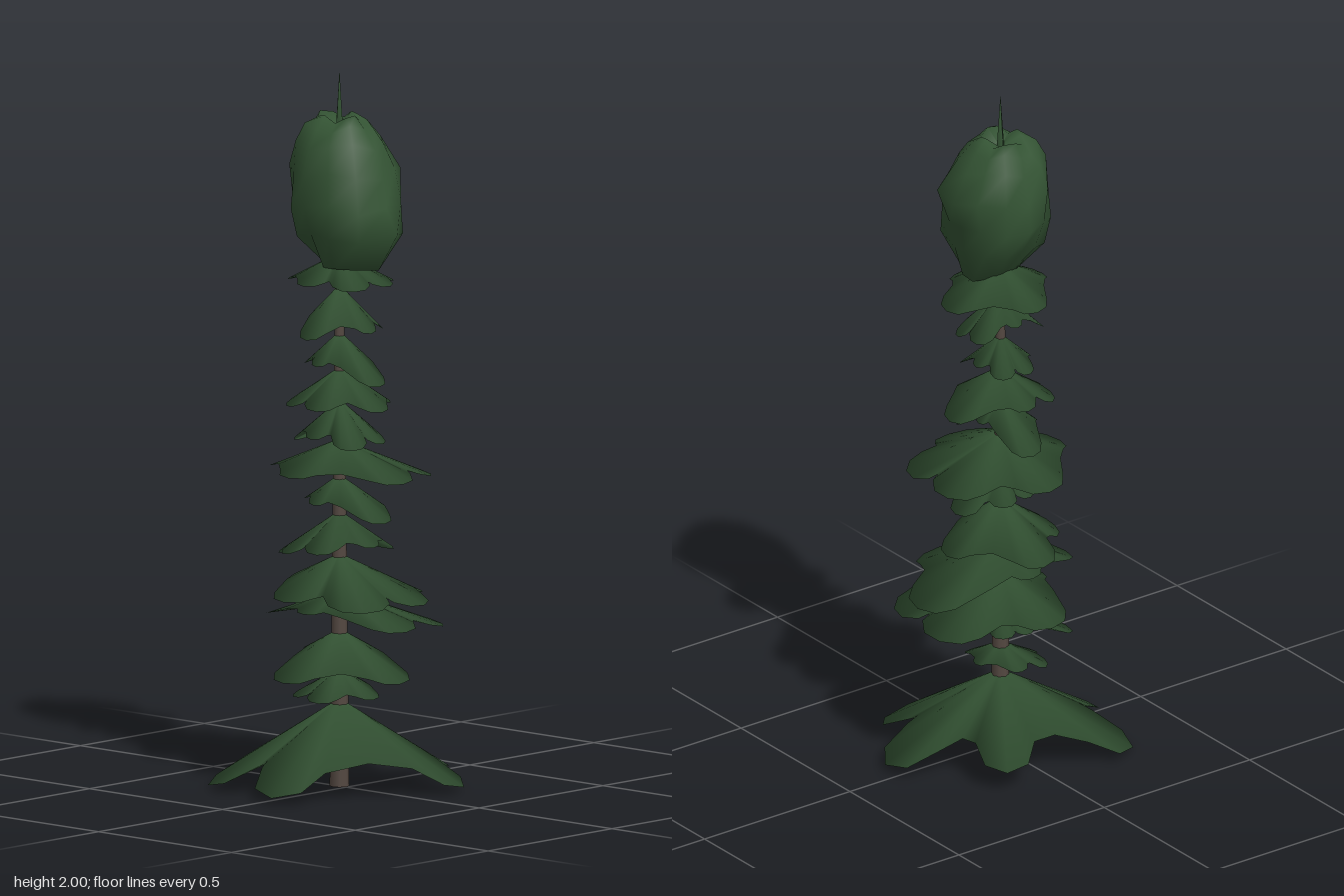
import * as THREE from 'three';

const CX = -0.03, CZ = -0.005; // trunk axis
const RAD = Math.PI / 180;

// distance from the axis to a lopsided oval given by its four extents; power 2 is an ellipse, more is fuller
function reach(a, [xl, xr, zb, zf], power) {
  const c = Math.cos(a), s = Math.sin(a);
  const rx = c < 0 ? CX - xl : xr - CX;
  const rz = s < 0 ? CZ - zb : zf - CZ;
  return (Math.abs(c / rx) ** power + Math.abs(s / rz) ** power) ** (-1 / power);
}

function surface(pos, index) {
  const g = new THREE.BufferGeometry();
  g.setAttribute('position', new THREE.Float32BufferAttribute(pos, 3));
  g.setIndex(index);
  g.computeVertexNormals();
  return g;
}

// drooping skirt of boughs: a closed star-shaped cone, hollowed underneath
// lobes: [angle in degrees, length], in order of angle; then relative radii of shoulder, flank and valley
function skirtGeometry(lobes, drop, shoulder, flank, valley) {
  const rim = [];
  lobes.forEach(([deg, len], i) => {
    const [d2, len2] = lobes[(i + 1) % lobes.length];
    const gap = (d2 - deg + 360) % 360;
    for (const [da, k] of [[-23, flank], [-13, shoulder], [0, 1], [13, shoulder], [23, flank]]) {
      rim.push([deg + da, len * k]);
    }
    rim.push([deg + gap / 2, valley * (len + len2) / 2]);
  });
  const longest = Math.max(...lobes.map(l => l[1]));
  const pos = [0, 0, 0, 0, -drop * 0.38, 0], index = [];
  rim.forEach(([deg, r], i) => {
    const a = deg * RAD;
    pos.push(Math.cos(a) * r, -drop * r / longest, Math.sin(a) * r);
    const p = 2 + i, q = 2 + (i + 1) % rim.length;
    index.push(0, q, p, 1, p, q);
  });
  return surface(pos, index);
}

// dense lumpy head lofted through uneven rings, sunken at the top
function crownGeometry() {
  const rings = [ // y, left x, right x, back z, front z
    [1.445, -0.035, -0.02, -0.015, 0.01],
    [1.455, -0.05, 0.11, -0.1, 0.06],
    [1.55, -0.13, 0.19, -0.125, 0.12],
    [1.63, -0.165, 0.155, -0.14, 0.135],
    [1.72, -0.165, 0.13, -0.175, 0.135],
    [1.8, -0.145, 0.1, -0.12, 0.125],
    [1.845, -0.125, 0.07, -0.085, 0.09],
    [1.87, -0.1, 0.03, -0.055, 0.05],
    [1.84, -0.032, -0.028, -0.007, -0.003],
  ];
  const n = 12, pos = [], index = [];
  rings.forEach(([y, ...ext], i) => {
    for (let j = 0; j < n; j++) {
      const a = (j / n) * Math.PI * 2;
      const r = reach(a, ext, 2) * (1 + 0.05 * Math.sin(j * 2.6 + i * 1.7));
      const lump = i > 1 && i < 8 ? 0.012 * Math.sin(j * 2.1 + i) : 0;
      pos.push(Math.cos(a) * r, y + lump, Math.sin(a) * r);
      if (i < rings.length - 1) {
        const p = i * n + j, q = i * n + (j + 1) % n;
        index.push(p, p + n, q, q, p + n, q + n);
      }
    }
  });
  return surface(pos, index);
}

export function createModel() {
  const model = new THREE.Group();
  model.name = 'conifer';
  const foliage = new THREE.MeshStandardMaterial({ color: 0x345434, side: THREE.DoubleSide });
  foliage.name = 'needle green';
  const bark = new THREE.MeshStandardMaterial({ color: 0x544841 });
  bark.name = 'bark brown';

  const tree = new THREE.Group();
  tree.name = 'tree';
  tree.position.set(CX, 0, CZ);
  model.add(tree);
  const add = (geometry, material, name, y = 0) => {
    const m = new THREE.Mesh(geometry, material);
    m.name = name;
    m.position.y = y;
    tree.add(m);
  };

  // trunk and leading shoot
  add(new THREE.CylinderGeometry(0.008, 0.027, 1.8, 8), bark, 'trunk', 0.9);
  add(new THREE.ConeGeometry(0.016, 0.2, 4), foliage, 'leadingShoot', 1.9);

  // lowest tier: long, deeply parted boughs
  const skirt = [[-78, 0.35], [-25.5, 0.36], [78.7, 0.357], [129, 0.366], [213, 0.286]];
  add(skirtGeometry(skirt, 0.235, 0.93, 0.73, 0.64), foliage, 'lowestTier', 0.245);

  // upper tiers: apex y, rim y, left x, right x, back z, front z
  const tiers = [
    [0.33, 0.25, -0.13, 0.10, -0.09, 0.13],
    [0.44, 0.31, -0.13, 0.20, -0.09, 0.22],
    [0.55, 0.44, -0.27, 0.22, -0.29, 0.14],
    [0.65, 0.51, -0.18, 0.22, -0.29, 0.22],
    [0.77, 0.63, -0.23, 0.10, -0.19, 0.14],
    [0.87, 0.75, -0.13, 0.14, -0.16, 0.10],
    [0.97, 0.86, -0.26, 0.21, -0.25, 0.20],
    [1.08, 0.95, -0.18, 0.11, -0.08, 0.11],
    [1.17, 1.05, -0.16, 0.13, -0.18, 0.14],
    [1.27, 1.13, -0.13, 0.12, -0.09, 0.09],
    [1.40, 1.26, -0.11, 0.09, -0.12, 0.13],
    [1.49, 1.39, -0.20, 0.12, -0.19, 0.14],
  ];
  tiers.forEach(([top, rim, ...ext], i) => {
    // five uneven boughs, turned a quarter on each tier
    const lobes = [0, 72, 122, 180, 270].map(d => {
      const deg = d + 90 * i;
      return [deg, reach(deg * RAD, ext, 2.6)];
    });
    add(skirtGeometry(lobes, top - rim, 0.97, 0.87, 0.77), foliage, 'tier', top);
  });

  add(crownGeometry(), foliage, 'crown');
  return model;
}
